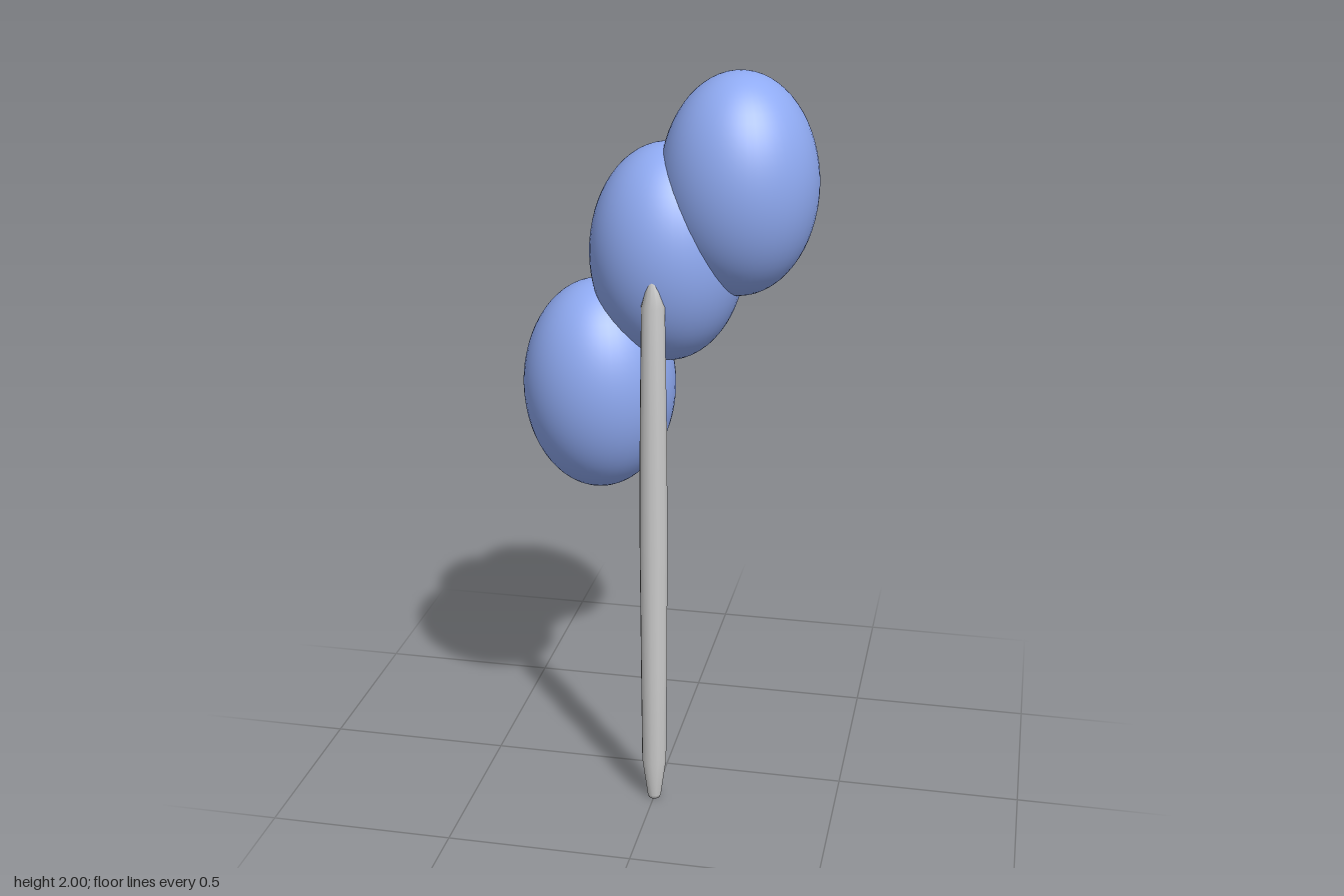
import * as THREE from 'three';

export function createModel() {
  const model = new THREE.Group();
  const blue = new THREE.MeshStandardMaterial({ color: 0x8faaf2 });
  const grey = new THREE.MeshStandardMaterial({ color: 0xcccccc });

  // Three overlapping egg-shaped blooms, stepping up from right to left
  const bloomGeometry = new THREE.SphereGeometry(1, 48, 32);
  const blooms = [
    ['lowerBloom', -0.187, 1.15],
    ['middleBloom', 0, 1.523],
    ['upperBloom', 0.187, 1.71],
  ];
  for (const [name, x, y] of blooms) {
    const bloom = new THREE.Mesh(bloomGeometry, blue);
    bloom.name = name;
    bloom.position.set(x, y, -0.011);
    bloom.scale.set(0.206, 0.29, 0.206);
    model.add(bloom);
  }

  // Slender stem with a blunt foot and a pointed tip
  const profile = [
    [0, 0], [0.016, 0], [0.019, 0.01], [0.034, 0.12], [0.036, 0.4], [0.038, 0.78],
    [0.036, 1.1], [0.031, 1.43], [0.012, 1.5], [0.006, 1.517], [0, 1.523],
  ].map(([r, y]) => new THREE.Vector2(r, y));
  const stem = new THREE.Mesh(new THREE.LatheGeometry(profile, 12), grey);
  stem.name = 'stem';
  stem.position.z = 0.18;
  model.add(stem);

  return model;
}
